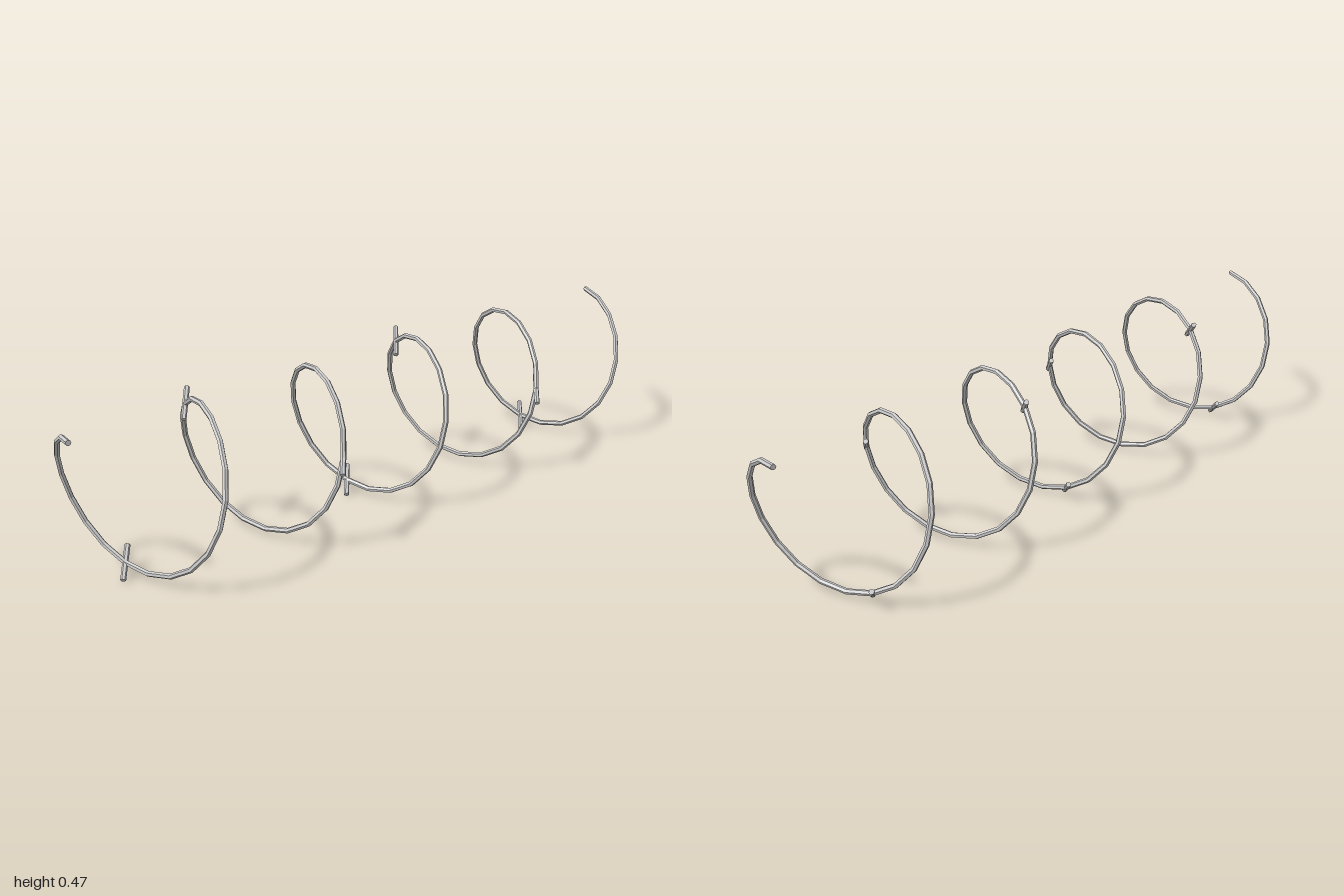
import * as THREE from 'three';

const TURNS = 5, STEPS = 18, RADIUS = 0.217, WIRE = 0.008, HALF = 0.992;
const CENTER_Y = 0.243, CENTER_Z = -0.016;

// Coil running along x, starting at the top and turning towards the back
class Coil extends THREE.Curve {
  getPoint(t, target = new THREE.Vector3()) {
    const a = t * TURNS * Math.PI * 2;
    return target.set(
      -HALF + 2 * HALF * t,
      CENTER_Y + RADIUS * Math.cos(a),
      CENTER_Z - RADIUS * Math.sin(a));
  }
}

export function createModel() {
  const group = new THREE.Group();
  group.name = 'barbedWireCoil';
  const material = new THREE.MeshStandardMaterial({ color: 0xcccccc, flatShading: true });
  const coil = new Coil();
  const segments = TURNS * STEPS;

  function add(name, geometry, position, axis, direction) {
    const mesh = new THREE.Mesh(geometry, material);
    mesh.name = name;
    if (position) mesh.position.copy(position);
    if (axis) mesh.quaternion.setFromUnitVectors(axis, direction);
    group.add(mesh);
  }

  // Wire, with its two ends closed
  add('wire', new THREE.TubeGeometry(coil, segments, WIRE, 6, false));
  const zAxis = new THREE.Vector3(0, 0, 1);
  const cap = new THREE.CircleGeometry(WIRE, 6);
  add('startCap', cap, coil.getPoint(0), zAxis, coil.getTangent(0).negate());
  add('endCap', cap, coil.getPoint(1), zAxis, coil.getTangent(1));

  // Parallel barbs, one every two thirds of a turn
  const span = new THREE.Vector3(0.06, 0.062, -0.064);
  const barb = new THREE.CylinderGeometry(WIRE, WIRE, span.length(), 6);
  const direction = span.clone().normalize();
  const yAxis = new THREE.Vector3(0, 1, 0);
  for (let i = 8; i < segments; i += 12) {
    add('barb', barb, coil.getPoint(i / segments), yAxis, direction);
  }
  return group;
}
